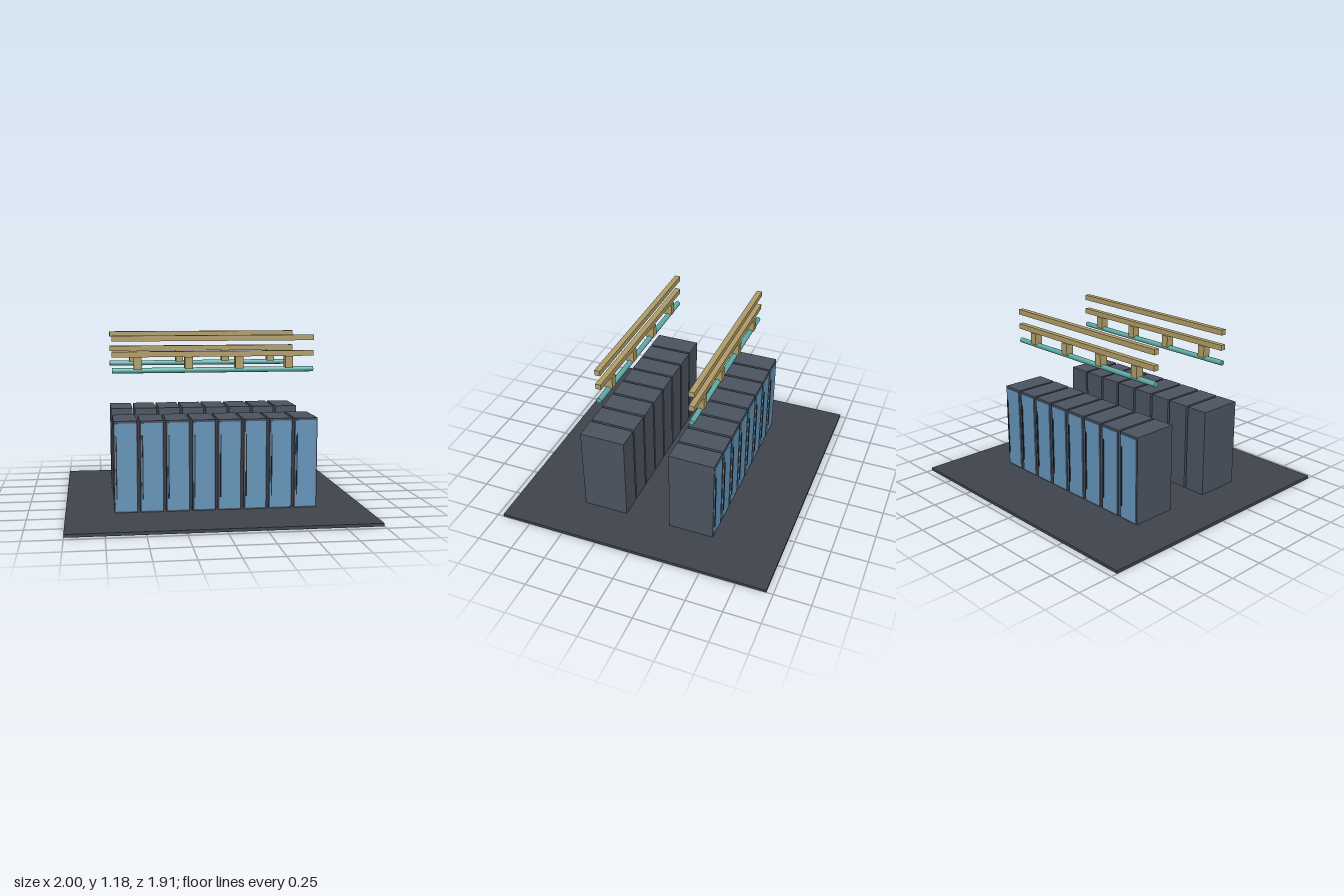
import * as THREE from 'three';

const material = (color) => new THREE.MeshStandardMaterial({ color });

const mats = {
  floor: material(0x3f444d),
  cabinet: material(0x4b535f),
  door: material(0x6493b8),
  handle: material(0x23282f),
  tray: material(0xb09c68),
  pipe: material(0x5fada6),
};

function box(name, mat, w, h, d, x, y, z) {
  const mesh = new THREE.Mesh(new THREE.BoxGeometry(w, h, d), mat);
  mesh.name = name;
  mesh.position.set(x, y, z);
  return mesh;
}

// One cabinet with its door and upright handle, facing +z
function makeCabinet() {
  const cabinet = new THREE.Group();
  cabinet.name = 'cabinet';
  cabinet.add(
    box('cabinetBody', mats.cabinet, 0.155, 0.61, 0.316, 0, 0.325, 0.318),
    box('cabinetDoor', mats.door, 0.139, 0.585, 0.006, 0, 0.323, 0.478),
    box('doorHandle', mats.handle, 0.007, 0.42, 0.008, -0.061, 0.32, 0.483),
  );
  return cabinet;
}

// A row of cabinets with the trays and pipe hanging over it
function makeRow(name) {
  const row = new THREE.Group();
  row.name = name;
  const count = 8, pitch = 0.172, length = 1.36, z = 0.318;

  for (let i = 0; i < count; i++) {
    const cabinet = makeCabinet();
    cabinet.position.x = (i - (count - 1) / 2) * pitch;
    row.add(cabinet);
  }

  // Overhead trays
  row.add(box('lowerTray', mats.tray, length, 0.037, 0.038, 0, 1.053, z));
  row.add(box('upperTray', mats.tray, length, 0.037, 0.038, 0, 1.158, z));

  // Hanger blocks between the lower tray and the pipe
  for (const x of [-0.51, -0.17, 0.17, 0.51]) {
    row.add(box('hangerBlock', mats.tray, 0.053, 0.082, 0.058, x, 0.994, z));
  }

  // Cooling pipe
  const pipe = new THREE.Mesh(new THREE.CylinderGeometry(0.018, 0.018, length, 12), mats.pipe);
  pipe.name = 'coolingPipe';
  pipe.rotation.z = Math.PI / 2;
  pipe.position.set(0, 0.945, z);
  row.add(pipe);
  return row;
}

export function createModel() {
  const model = new THREE.Group();
  model.name = 'cabinetRoom';
  model.add(box('floorSlab', mats.floor, 2, 0.02, 1.91, 0, 0.01, 0));

  // Two rows standing back to back
  const frontRow = makeRow('frontRow');
  const backRow = makeRow('backRow');
  backRow.rotation.y = Math.PI;
  model.add(frontRow, backRow);
  return model;
}
